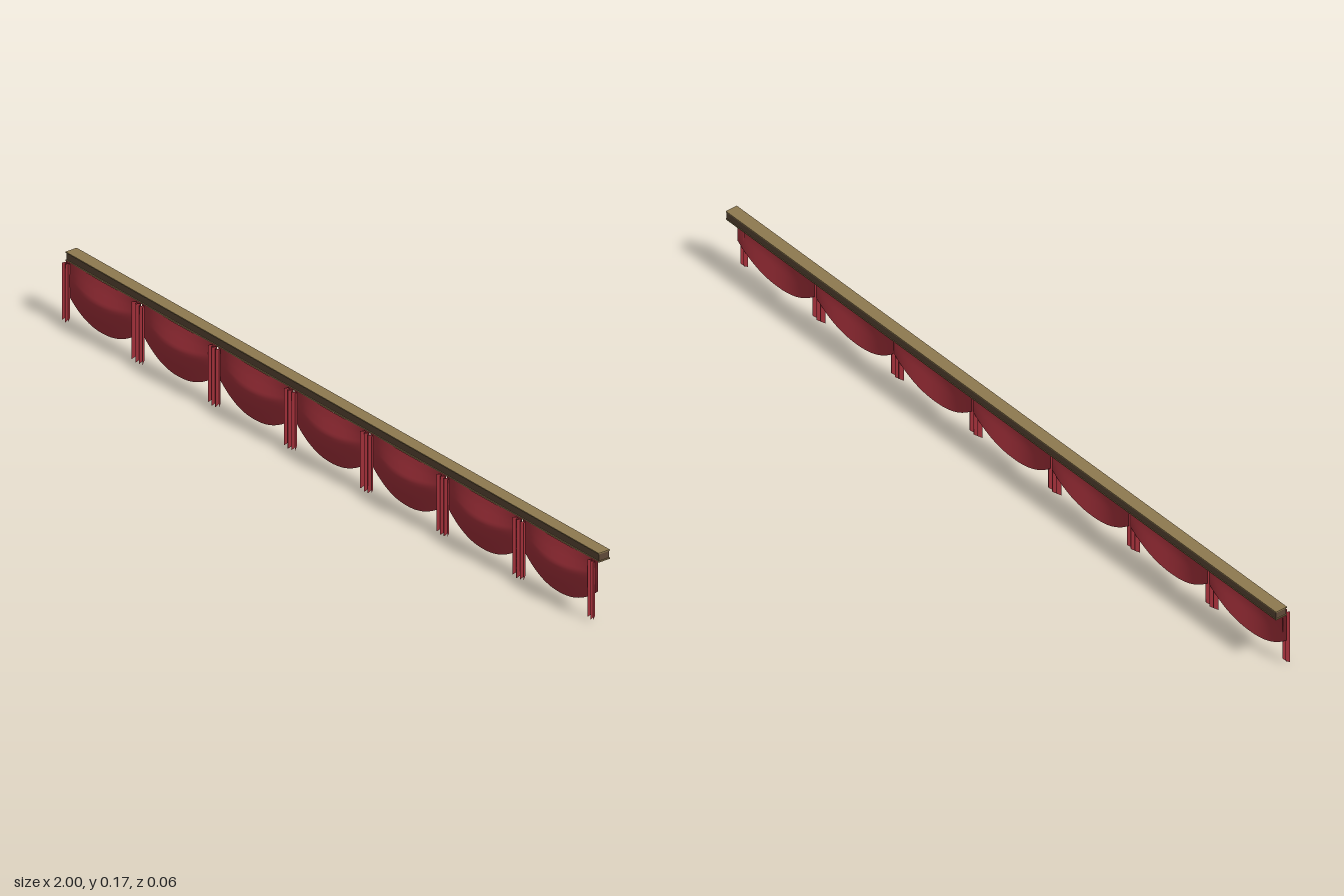
import * as THREE from 'three';

const SWAGS = 7, PITCH = 2 / SWAGS, TOP = 0.152;

// Smooth open cloth surface from a rule f(u, v) -> [x, y, z], u across, v downward
function cloth(f, nu, nv) {
  const geo = new THREE.PlaneGeometry(1, 1, nu, nv);
  const pos = geo.attributes.position;
  for (let i = 0; i < pos.count; i++) {
    pos.setXYZ(i, ...f(pos.getX(i) + 0.5, 0.5 - pos.getY(i)));
  }
  geo.computeVertexNormals();
  return geo;
}

export function createModel() {
  const group = new THREE.Group();
  const red = new THREE.MeshStandardMaterial({ color: 0xa8323c, side: THREE.DoubleSide });
  const tan = new THREE.MeshStandardMaterial({ color: 0x8f7a50 });
  const brown = new THREE.MeshStandardMaterial({ color: 0x5f4a38 });

  const add = (name, geo, mat, x = 0, y = 0, z = 0) => {
    const mesh = new THREE.Mesh(geo, mat);
    mesh.name = name;
    mesh.position.set(x, y, z);
    group.add(mesh);
  };

  // Rail: a dark core between two projecting boards
  add('railCore', new THREE.BoxGeometry(1.996, 0.018, 0.03), brown, 0, 0.162, -0.013);
  add('railTopBoard', new THREE.BoxGeometry(2, 0.003, 0.033), tan, 0, 0.1725, -0.0125);
  add('railBottomBoard', new THREE.BoxGeometry(2, 0.003, 0.033), tan, 0, 0.1515, -0.0125);

  // Bulge of a swag from its top edge down to its hem
  const bulge = new THREE.SplineCurve([
    [0, 0.1], [0.13, 0.4], [0.27, 0.75], [0.4, 1], [0.6, 0.88], [0.8, 0.55], [1, 0.17],
  ].map(p => new THREE.Vector2(...p)));

  // Draped swags with curved hems
  const swag = cloth((u, v) => {
    const s = 2 * u - 1;
    const hem = 0.02 + 0.055 * Math.pow(Math.abs(s), 2.2);
    const p = bulge.getPoint(v);
    const out = Math.cos(s * Math.PI / 2);
    return [s * PITCH / 2 * 0.985, TOP + (hem - TOP) * p.x, 0.004 + 0.0255 * out * p.y];
  }, 28, 18);
  for (let i = 0; i < SWAGS; i++) {
    add('swag', swag, red, -1 + PITCH * (i + 0.5));
  }

  // Pleated tails hanging over the joints, narrower at both ends
  const tail = (width, pleats) => cloth((u, v) => {
    const wave = Math.cos(u * pleats * Math.PI * 2);
    const hem = 0.006 - 0.004 * wave + 0.002 * Math.cos(u * 7);
    return [(u - 0.5) * width, TOP + (hem - TOP) * v, 0.012 + 0.005 * wave];
  }, pleats * 12, 6);
  const jointTail = tail(0.042, 3), endTail = tail(0.022, 2);
  for (let i = 0; i <= SWAGS; i++) {
    const end = i === 0 || i === SWAGS;
    const x = end ? Math.sign(i - 1) * 0.985 : -1 + PITCH * i;
    add('tail', end ? endTail : jointTail, red, x);
  }
  return group;
}
